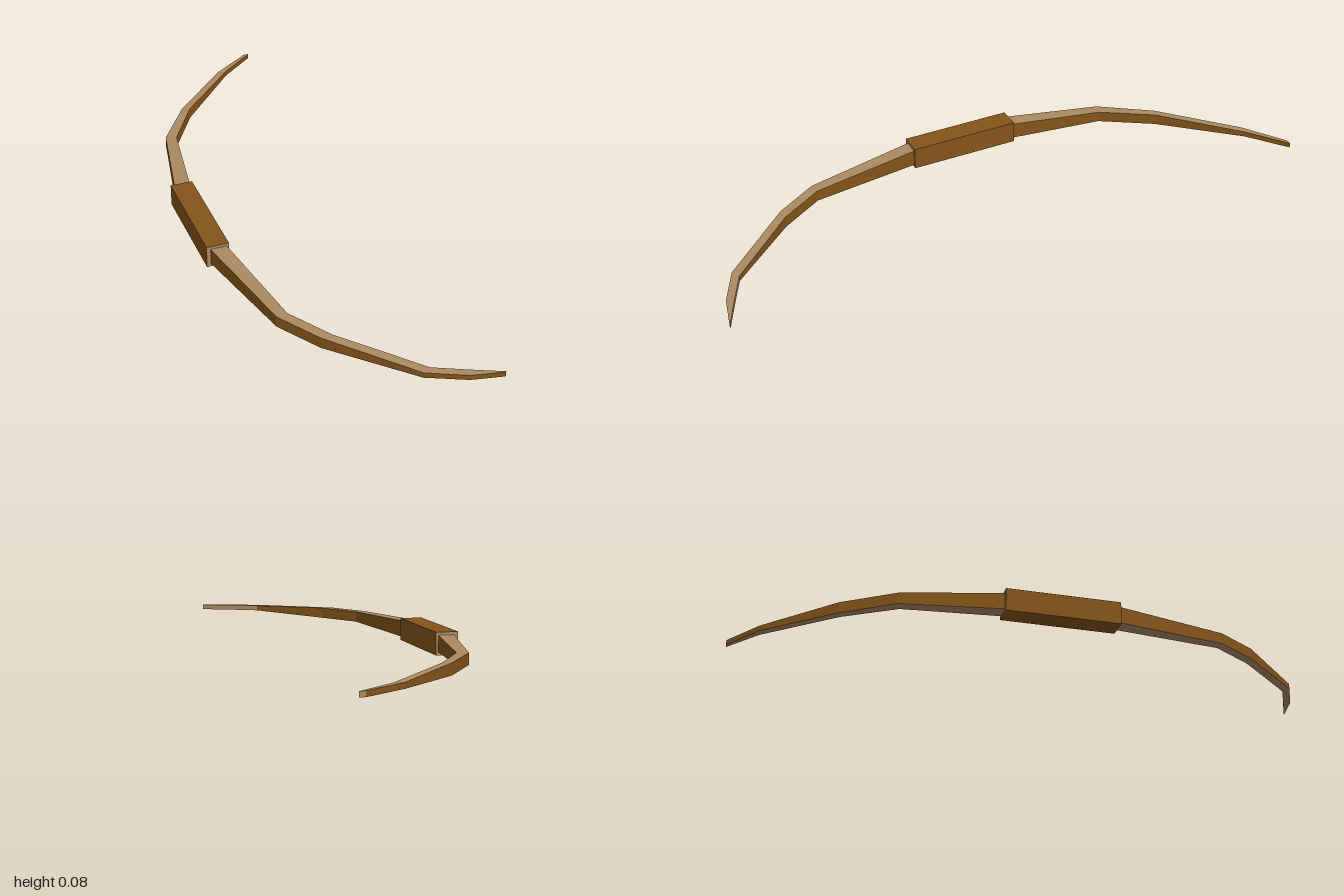
import * as THREE from 'three';

const MID = 0.0375; // height of the bow's centre line

// Station: [outer x, outer z, inner x, inner z, half height]
const frontStations = [
  [-0.297, 0.16, -0.243, 0.16, 0.028],
  [-0.216, 0.55, -0.18, 0.545, 0.0185],
  [-0.13, 0.687, -0.092, 0.685, 0.0185],
  [0.087, 0.92, 0.114, 0.905, 0.009],
  [0.205, 0.976, 0.212, 0.952, 0.0085],
  [0.305, 0.998, 0.307, 0.996, 0.0085],
];
const backStations = [
  [-0.297, -0.18, -0.243, -0.18, 0.028],
  [-0.225, -0.517, -0.189, -0.505, 0.0185],
  [-0.112, -0.683, -0.085, -0.674, 0.0185],
  [0.1, -0.905, 0.133, -0.903, 0.009],
  [0.238, -1, 0.257, -1, 0.0085],
];

// Four-sided limb: pale top and bottom, dark sides; paleTip lightens the inner tip faces
function limbGeometry(stations, dir, paleTip) {
  const pos = [];
  const geo = new THREE.BufferGeometry();
  const rings = stations.map(([ox, oz, ix, iz, h]) => [
    [ox, MID - h, oz], [ox, MID + h, oz], [ix, MID + h, iz], [ix, MID - h, iz],
  ]);
  const quad = (a, b, c, d, material) => {
    geo.addGroup(pos.length / 3, 6, material);
    const corners = dir > 0 ? [a, b, c, a, c, d] : [a, c, b, a, d, c];
    corners.forEach((p) => pos.push(...p));
  };
  for (let i = 0; i < rings.length - 1; i++) {
    const p = rings[i], q = rings[i + 1];
    for (let k = 0; k < 4; k++) {
      const n = (k + 1) % 4;
      const pale = k % 2 === 1 || (k === 2 && paleTip && i >= 3);
      quad(p[k], q[k], q[n], p[n], pale ? 1 : 0);
    }
  }
  const first = rings[0], last = rings[rings.length - 1];
  quad(first[0], first[1], first[2], first[3], 1);
  quad(last[3], last[2], last[1], last[0], 1);
  geo.setAttribute('position', new THREE.Float32BufferAttribute(pos, 3));
  geo.computeVertexNormals();
  return geo;
}

export function createModel() {
  const group = new THREE.Group();
  group.name = 'bow';
  const darkWood = new THREE.MeshStandardMaterial({ color: 0x85551a });
  darkWood.name = 'darkWood';
  const paleWood = new THREE.MeshStandardMaterial({ color: 0xab8a62 });
  paleWood.name = 'paleWood';

  // Grip block with pale end grain
  const grip = new THREE.Mesh(
    new THREE.BoxGeometry(0.074, 0.075, 0.372),
    [darkWood, darkWood, darkWood, darkWood, paleWood, paleWood],
  );
  grip.name = 'grip';
  grip.position.set(-0.27, MID, -0.01);
  group.add(grip);

  // Curved limbs
  const limbs = [
    ['frontLimb', frontStations, 1, true],
    ['backLimb', backStations, -1, false],
  ];
  for (const [name, stations, dir, paleTip] of limbs) {
    const limb = new THREE.Mesh(limbGeometry(stations, dir, paleTip), [darkWood, paleWood]);
    limb.name = name;
    group.add(limb);
  }
  return group;
}
